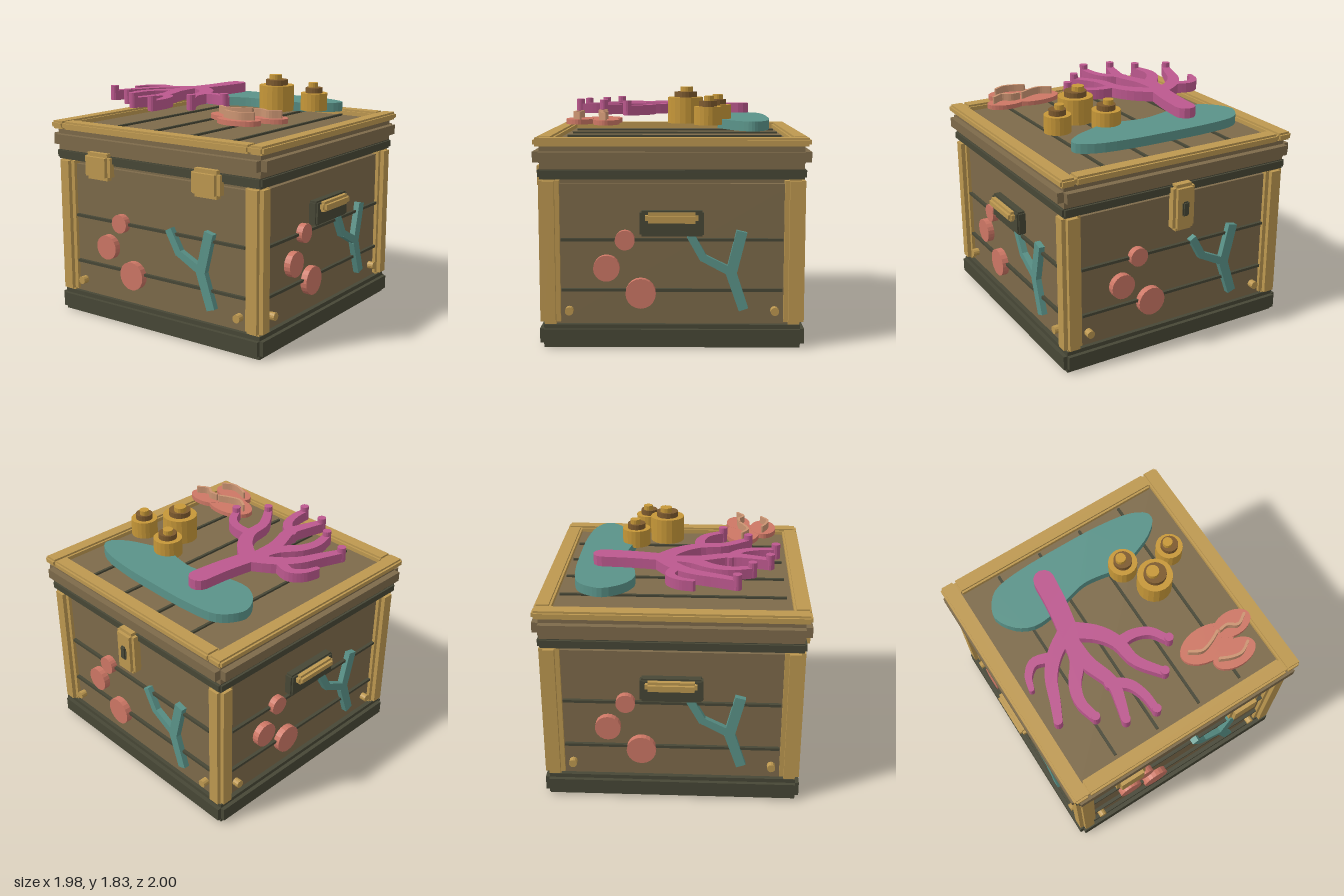
import * as THREE from 'three';

const material = (name, color) => Object.assign(new THREE.MeshStandardMaterial({ color }), { name });
const M = {
  wood: material('wood', 0x7d6a4a),
  brass: material('brass', 0xbd9850),
  iron: material('darkIron', 0x474736),
  gold: material('barnacleGold', 0xc69738),
  teal: material('seaweedTeal', 0x5a9389),
  pink: material('coralPink', 0xbc588e),
  salmon: material('shellSalmon', 0xcd7765),
  brown: material('barnacleBrown', 0x7d5a2e),
  ridge: material('ridgeTan', 0xcb9472),
};

function add(parent, name, geometry, mat, x = 0, y = 0, z = 0) {
  const mesh = new THREE.Mesh(geometry, mat);
  mesh.name = name;
  mesh.position.set(x, y, z);
  parent.add(mesh);
  return mesh;
}

function addGroup(parent, name, x = 0, y = 0, z = 0) {
  const g = new THREE.Group();
  g.name = name;
  g.position.set(x, y, z);
  parent.add(g);
  return g;
}

// Block with stepped edges: three crossing boxes, each full size along one axis
function steppedBox(parent, name, mat, [w, h, d], [x, y, z], b) {
  const g = addGroup(parent, name, x, y, z);
  const c = 2 * b;
  add(g, name + 'Wide', new THREE.BoxGeometry(w, h - c, d - c), mat);
  add(g, name + 'Tall', new THREE.BoxGeometry(w - c, h, d - c), mat);
  add(g, name + 'Deep', new THREE.BoxGeometry(w - c, h - c, d), mat);
  return g;
}

// Flat-sided round plate
function disc(r, h, sides = 20) {
  const g = new THREE.CylinderGeometry(r, r, h, sides).toNonIndexed();
  g.computeVertexNormals();
  return g;
}

// Outline of a strip following a path, half width a tapering to b
function stripShape(points, a, b, round = true, steps = 14) {
  const curve = new THREE.CatmullRomCurve3(points.map(([x, y]) => new THREE.Vector3(x, y, 0)));
  const left = [], right = [];
  let angle = 0, p, w;
  const at = (t) => new THREE.Vector2(p.x + w * Math.cos(t), p.y + w * Math.sin(t));
  const cap = (list) => {
    if (round) for (let k = 1; k < 6; k++) list.push(at(angle + Math.PI / 2 - k * Math.PI / 6));
  };
  const start = [];
  for (let i = 0; i <= steps; i++) {
    const t = i / steps;
    const d = curve.getTangent(t);
    p = curve.getPoint(t);
    w = a + (b - a) * t;
    angle = Math.atan2(d.y, d.x);
    if (i === 0) { angle += Math.PI; cap(start); angle -= Math.PI; }
    left.push(at(angle + Math.PI / 2));
    right.unshift(at(angle - Math.PI / 2));
  }
  const end = [];
  cap(end);
  return new THREE.Shape([...start, ...left, ...end, ...right]);
}

const extrude = (shape, depth) => new THREE.ExtrudeGeometry(shape, { depth, bevelEnabled: false });
// Horizontal plate from a shape drawn as (x, -z)
const plate = (shape, depth) => extrude(shape, depth).rotateX(-Math.PI / 2);
const flip = (points) => points.map(([x, z]) => [x, -z]);

// Decoration repeated on every wall, drawn in the wall's own plane
function wallDecor(parent, name, turn) {
  const g = addGroup(parent, name);
  g.rotation.y = turn;
  const face = 0.875;
  for (const y of [0.41, 0.77])
    add(g, 'wallStrip', new THREE.BoxGeometry(1.56, 0.02, 0.03), M.iron, 0, y, face + 0.01);
  for (const [x, y, r] of [[-0.33, 0.77, 0.07], [-0.46, 0.57, 0.093], [-0.22, 0.39, 0.107]])
    add(g, 'wallShell', disc(r, 0.05).rotateX(Math.PI / 2), M.salmon, x, y, face + 0.025);
  for (const x of [-0.726, 0.726])
    add(g, 'rivet', disc(0.03, 0.05, 12).rotateX(Math.PI / 2), M.brass, x, 0.262, face + 0.025);
  // forked seaweed
  const weed = addGroup(g, 'wallSeaweed', 0, 0, face);
  const arms = [
    [[[0.505, 0.275], [0.415, 0.54]], 0.035, 0.038],
    [[[0.415, 0.53], [0.49, 0.833]], 0.038, 0.038],
    [[[0.425, 0.54], [0.22, 0.645]], 0.03, 0.026],
    [[[0.225, 0.635], [0.13, 0.805]], 0.028, 0.028],
  ];
  for (const [pts, a, b] of arms) add(weed, 'seaweedArm', extrude(stripShape(pts, a, b, false, 1), 0.045), M.teal);
}

export function createModel() {
  const root = new THREE.Group();
  root.name = 'seaChest';
  const chest = addGroup(root, 'chest', 0, 0, 0.015);

  // Body, base and lid
  steppedBox(chest, 'base', M.iron, [1.88, 0.165, 1.87], [0, 0.0825, 0], 0.03);
  steppedBox(chest, 'body', M.wood, [1.75, 1.08, 1.75], [0, 0.66, 0], 0.035);
  steppedBox(chest, 'rimBand', M.iron, [1.87, 0.08, 1.87], [0, 1.24, 0], 0.016);
  steppedBox(chest, 'lid', M.wood, [1.935, 0.17, 1.935], [0, 1.355, 0], 0.048);
  for (const x of [-0.86, 0.86])
    for (const z of [-0.86, 0.86])
      steppedBox(chest, 'cornerPost', M.brass, [0.145, 1.07, 0.145], [x, 0.685, z], 0.032);

  // Lid frame and plank seams
  for (const s of [-1, 1]) {
    steppedBox(chest, 'sideRail', M.brass, [0.12, 0.06, 1.92], [s * 0.9, 1.46, 0], 0.015);
    steppedBox(chest, 'endRail', M.brass, [1.69, 0.06, 0.12], [0, 1.46, s * 0.9], 0.015);
  }
  for (const x of [-0.532, -0.178, 0.177, 0.532])
    add(chest, 'lidSeam', new THREE.BoxGeometry(0.02, 0.03, 1.63), M.iron, x, 1.44, -0.01);

  // Walls
  ['front', 'right', 'back', 'left'].forEach((n, i) => wallDecor(chest, n + 'Wall', i * Math.PI / 2));

  // Side handles
  for (const s of [-1, 1]) {
    steppedBox(chest, 'handlePlate', M.iron, [0.08, 0.18, 0.45], [s * 0.9, 0.89, 0], 0.013);
    steppedBox(chest, 'handleBar', M.brass, [0.07, 0.075, 0.37], [s * 0.953, 0.935, 0], 0.02);
  }

  // Front clasps and rear lock
  for (const x of [-0.495, 0.495])
    steppedBox(chest, 'clasp', M.brass, [0.245, 0.2, 0.1], [x, 1.19, 0.935], 0.028);
  steppedBox(chest, 'lock', M.brass, [0.18, 0.35, 0.1], [0, 1.105, -0.948], 0.025);
  steppedBox(chest, 'keyhole', M.iron, [0.055, 0.11, 0.04], [0, 1.1, -0.992], 0.01);

  // Kelp leaf on the lid
  const leafPts = flip([
    [-0.74, -0.48], [-0.71, -0.58], [-0.63, -0.665], [-0.45, -0.705], [0, -0.715], [0.3, -0.705],
    [0.55, -0.665], [0.66, -0.595], [0.66, -0.53], [0.56, -0.44], [0.4, -0.37], [0.27, -0.32],
    [0.1, -0.35], [-0.05, -0.365], [-0.2, -0.33], [-0.37, -0.28], [-0.53, -0.27], [-0.66, -0.34],
  ]);
  const leaf = new THREE.CatmullRomCurve3(leafPts.map(([x, y]) => new THREE.Vector3(x, y, 0)), true).getPoints(54);
  leaf.pop();
  const leafShape = new THREE.Shape(leaf.map((p) => new THREE.Vector2(p.x, p.y)));
  add(root, 'kelpLeaf', plate(leafShape, 0.07), M.teal, 0, 1.515, 0);

  // Branching coral: path, start and end half width, bead at the tip
  const coral = addGroup(root, 'coral');
  const branches = [
    [[[-0.3, -0.51], [-0.32, -0.3], [-0.36, -0.07]], 0.077, 0.07, 0],
    [[[-0.36, -0.09], [-0.53, 0.02], [-0.64, 0.15], [-0.71, 0.32], [-0.77, 0.46]], 0.06, 0.03, 1],
    [[[-0.56, 0.03], [-0.69, -0.005], [-0.77, 0.06], [-0.803, 0.155]], 0.04, 0.02, 0],
    [[[-0.37, -0.05], [-0.42, 0.14], [-0.53, 0.29], [-0.565, 0.42], [-0.535, 0.57]], 0.06, 0.03, 1],
    [[[-0.39, 0.02], [-0.37, 0.2], [-0.3, 0.42], [-0.33, 0.57], [-0.37, 0.7]], 0.06, 0.03, 1],
    [[[-0.32, 0.41], [-0.21, 0.49], [-0.16, 0.61], [-0.15, 0.75]], 0.04, 0.027, 1],
    [[[-0.35, -0.08], [-0.19, 0.05], [-0.11, 0.18], [-0.08, 0.36], [0.05, 0.55]], 0.065, 0.03, 1],
    [[[-0.11, 0.19], [0.02, 0.19], [0.13, 0.24], [0.21, 0.36]], 0.04, 0.027, 1],
  ];
  for (const [pts, a, b, bead] of branches) {
    add(coral, 'coralBranch', plate(stripShape(flip(pts), a, b), 0.075), M.pink, 0, 1.605, 0);
    const [x, z] = pts[pts.length - 1];
    if (bead) add(coral, 'coralTip', disc(0.032, 0.11, 14), M.pink, x, 1.662, z);
  }

  // Barnacles
  for (const [x, z, r, top] of [[0.38, -0.08, 0.13, 1.75], [0.255, -0.315, 0.107, 1.69], [0.612, -0.24, 0.1, 1.69]]) {
    const g = addGroup(root, 'barnacle', x, 0, z);
    add(g, 'barnacleShell', disc(r, top - 1.56), M.gold, 0, (top + 1.56) / 2, 0);
    add(g, 'barnacleMouth', disc(r * 0.64, 0.04), M.brown, 0, top + 0.02, 0);
    add(g, 'barnacleCore', disc(r * 0.36, 0.04, 14), M.gold, -r * 0.13, top + 0.055, -r * 0.07);
  }

  // Lid shells with wavy ridges
  const shells = [
    [0.44, 0.515, 0.215, 0.13, [[0.285, 0.51], [0.37, 0.553], [0.46, 0.53], [0.54, 0.49]]],
    [0.68, 0.483, 0.15, 0.093, [[0.57, 0.49], [0.63, 0.485], [0.7, 0.525], [0.78, 0.48]]],
    [0.565, 0.68, 0.17, 0.1, [[0.44, 0.67], [0.52, 0.705], [0.6, 0.715], [0.68, 0.67]]],
  ];
  shells.forEach(([x, z, rx, rz, ridge], i) => {
    const h = 0.033 + i * 0.001;
    add(root, 'lidShell', disc(1, h, 28).scale(rx, 1, rz), M.salmon, x, 1.567 + h / 2, z);
    add(root, 'shellRidge', plate(stripShape(flip(ridge), 0.01, 0.01), 0.06), M.ridge, 0, 1.595, 0);
  });

  return root;
}
